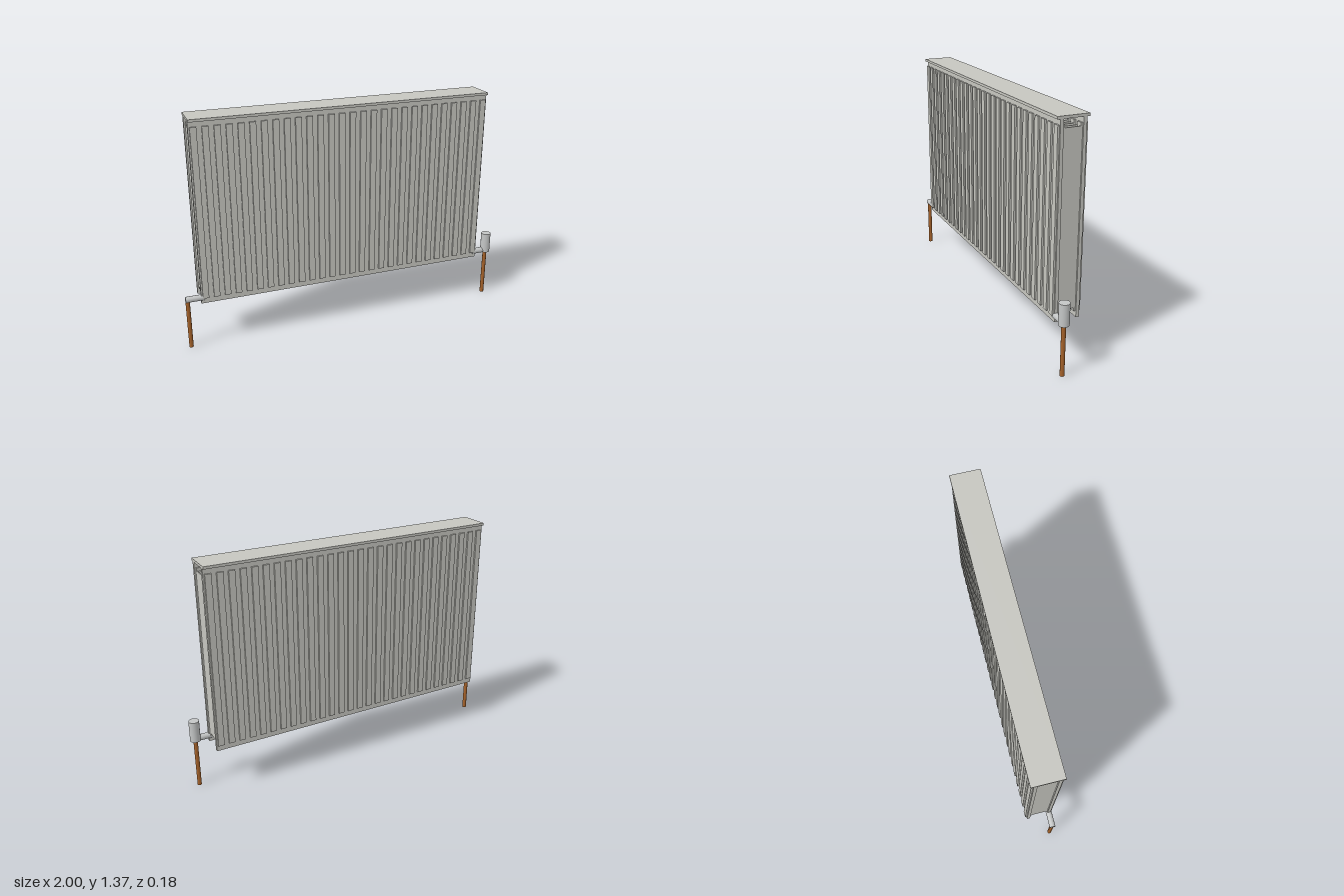
import * as THREE from 'three';

export function createModel() {
  const model = new THREE.Group();
  model.name = 'radiator';
  const material = (name, color) => {
    const m = new THREE.MeshStandardMaterial({ color });
    m.name = name;
    return m;
  };
  const enamel = material('warm grey enamel', 0xc6c6c0);
  const metal = material('valve metal', 0xc4c6c6);
  const copper = material('copper', 0xa5622a);
  metal.flatShading = false;

  // Box given by its minimum and maximum corners
  const box = (parent, name, mat, x0, x1, y0, y1, z0, z1) => {
    const mesh = new THREE.Mesh(new THREE.BoxGeometry(x1 - x0, y1 - y0, z1 - z0), mat);
    mesh.position.set((x0 + x1) / 2, (y0 + y1) / 2, (z0 + z1) / 2);
    mesh.name = name;
    parent.add(mesh);
  };
  const cylinder = (name, mat, r, length, sides, x, y, z) => {
    const mesh = new THREE.Mesh(new THREE.CylinderGeometry(r, r, length, sides), mat);
    mesh.position.set(x, y, z);
    mesh.name = name;
    model.add(mesh);
    return mesh;
  };

  const left = -0.91, right = 0.89, midZ = -0.002;
  const ribs = 28, pitch = 0.0647, firstRib = -0.883, ribHalf = 0.018;

  // Front and back panels with raised vertical ribs
  for (const side of [1, -1]) {
    const panel = new THREE.Group();
    panel.name = side > 0 ? 'frontPanel' : 'backPanel';
    const z = midZ + side * 0.064;
    box(panel, 'sheet', enamel, left, right, 0.276, 1.356, z - 0.0095, z + 0.0095);
    for (let i = 0; i < ribs; i++) {
      const x = firstRib + i * pitch;
      box(panel, 'rib', enamel, x - ribHalf, x + ribHalf, 0.31, 1.325, z - 0.0195, z + 0.0195);
    }
    model.add(panel);
  }

  // Folded convector fins between the panels
  const fins = new THREE.Group();
  fins.name = 'convectorFins';
  for (let i = 0; i < ribs; i++) {
    const x = firstRib + i * pitch;
    for (const s of [-1, 1]) {
      const wx = x + s * (ribHalf - 0.003);
      box(fins, 'finWeb', enamel, wx - 0.003, wx + 0.003, 0.33, 1.308, midZ - 0.0445, midZ + 0.0445);
    }
    box(fins, 'finFold', enamel, x - 0.012, x + 0.012, 0.33, 1.308, midZ + 0.038, midZ + 0.0444);
  }
  model.add(fins);

  // Flat top cover
  box(model, 'topCover', enamel, left, right, 1.355, 1.37, midZ - 0.09, midZ + 0.09);

  // Feed pipes, horizontal connectors and the control knob
  const pipeZ = 0.062;
  for (const [x, inner, outer] of [[-0.988, left + 0.02, -1], [0.969, right - 0.02, 0.969]]) {
    cylinder('feedPipe', copper, 0.0125, 0.305, 12, x, 0.1525, pipeZ);
    const connector = cylinder('connector', metal, 0.018, Math.abs(outer - inner), 12,
      (inner + outer) / 2, 0.311, pipeZ);
    connector.rotation.z = Math.PI / 2;
  }
  cylinder('controlKnob', metal, 0.03, 0.127, 24, 0.969, 0.3635, pipeZ);

  return model;
}
